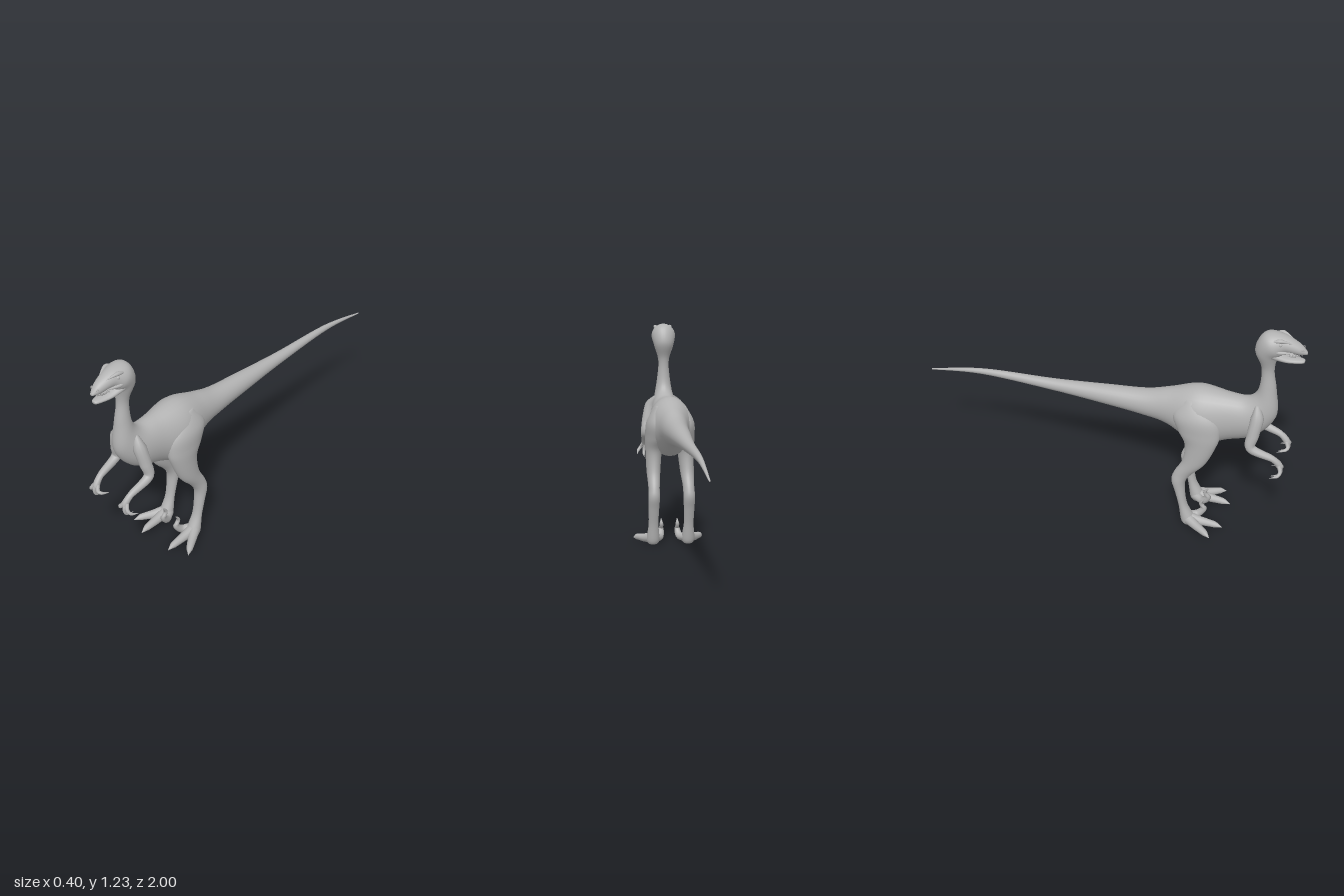
import * as THREE from 'three';

const skin = new THREE.MeshStandardMaterial({ color: 0xb2b2b2 });
skin.name = 'grey skin';
const { clamp, lerp } = THREE.MathUtils;

// Smooth loft through ribs [topZ, topY, bottomZ, bottomY, halfWidth], centred on x = cx(t)
function loft(ribs, steps, cx = () => 0) {
  const sides = 28, pos = [], idx = [], mids = [];
  const value = (k, t) => {
    const i = Math.min(Math.floor(t), ribs.length - 2), f = t - i;
    const [a, b, c, d] = [i - 1, i, i + 1, i + 2].map((n) => ribs[clamp(n, 0, ribs.length - 1)][k]);
    return b + 0.5 * f * (c - a + f * (2 * a - 5 * b + 4 * c - d + f * (3 * (b - c) + d - a)));
  };
  const rings = (ribs.length - 1) * steps;
  for (let i = 0; i <= rings; i++) {
    const [tz, ty, bz, by, w] = ribs[0].map((_, k) => value(k, i / steps));
    const x = cx(i / rings), y = (ty + by) / 2, z = (tz + bz) / 2;
    mids.push([x, y, z]);
    for (let j = 0; j < sides; j++) {
      const a = (j / sides) * Math.PI * 2, c = Math.cos(a);
      pos.push(x + w * Math.sin(a), y + (ty - y) * c, z + (tz - z) * c);
    }
  }
  const start = pos.length / 3;
  pos.push(...mids[0], ...mids[rings]);
  for (let j = 0; j < sides; j++) {
    const n = (j + 1) % sides;
    for (let i = 0; i < rings; i++) {
      const a = i * sides + j, b = i * sides + n;
      idx.push(a, a + sides, b, b, a + sides, b + sides);
    }
    idx.push(start, j, n, start + 1, rings * sides + n, rings * sides + j);
  }
  const geo = new THREE.BufferGeometry();
  geo.setAttribute('position', new THREE.Float32BufferAttribute(pos, 3));
  geo.setIndex(idx);
  geo.computeVertexNormals();
  return geo;
}

// Round limb through points [x, y, z, radius], mirrored by s
function limb(points, s = 1) {
  const sides = 12, segs = points.length * 6;
  const curve = new THREE.CatmullRomCurve3(points.map(([x, y, z]) => new THREE.Vector3(x * s, y, z)));
  const geo = new THREE.TubeGeometry(curve, segs, 1, sides);
  const P = geo.attributes.position, N = geo.attributes.normal;
  for (let i = 0; i <= segs; i++) {
    const c = curve.getPointAt(i / segs);
    const t = curve.getUtoTmapping(i / segs) * (points.length - 1);
    const k = Math.min(Math.floor(t), points.length - 2);
    const r = lerp(points[k][3], points[k + 1][3], t - k);
    for (let j = 0; j <= sides; j++) {
      const v = i * (sides + 1) + j;
      P.setXYZ(v, c.x + N.getX(v) * r, c.y + N.getY(v) * r, c.z + N.getZ(v) * r);
    }
  }
  return geo;
}

export function createModel() {
  const model = new THREE.Group();
  model.name = 'twoLeggedDinosaur';
  const add = (name, geo) => {
    const mesh = new THREE.Mesh(geo, skin);
    mesh.name = name;
    model.add(mesh);
    return mesh;
  };

  // Tail, trunk, neck and upper head in one skin
  add('body', loft([
    [-1, 0.623, -1, 0.617, 0.004],
    [-0.7, 0.685, -0.7, 0.653, 0.015],
    [-0.3, 0.705, -0.3, 0.641, 0.031],
    [0, 0.73, 0, 0.622, 0.052],
    [0.2, 0.75, 0.2, 0.603, 0.066],
    [0.33, 0.788, 0.33, 0.578, 0.082],
    [0.48, 0.835, 0.5, 0.5, 0.124],
    [0.64, 0.822, 0.65, 0.55, 0.092],
    [0.725, 0.822, 0.79, 0.607, 0.08],
    [0.773, 0.865, 0.882, 0.735, 0.056],
    [0.788, 0.94, 0.871, 0.89, 0.037],
    [0.783, 1.03, 0.851, 1.005, 0.031],
    [0.747, 1.125, 0.86, 1.088, 0.056],
    [0.785, 1.217, 0.88, 1.112, 0.068],
    [0.87, 1.225, 0.905, 1.134, 0.048],
    [0.96, 1.187, 0.965, 1.13, 0.028],
    [1, 1.148, 1, 1.136, 0.008],
  ], 7));

  // Open lower jaw and tongue
  add('lowerJaw', loft([
    [0.835, 1.15, 0.835, 1.09, 0.055],
    [0.91, 1.114, 0.91, 1.08, 0.039],
    [0.98, 1.104, 0.98, 1.083, 0.019],
    [0.992, 1.099, 0.992, 1.09, 0.006],
  ], 5));
  add('tongue', limb([[0, 1.12, 0.87, 0.012], [0, 1.113, 0.92, 0.012], [0, 1.12, 0.972, 0]]));

  // Leg levels: height, front z, back z, half width
  const legRibs = [
    [0.79, 0.5, 0.43, 0.02],
    [0.7, 0.605, 0.37, 0.057],
    [0.61, 0.622, 0.4, 0.054],
    [0.53, 0.603, 0.442, 0.046],
    [0.42, 0.557, 0.435, 0.039],
    [0.335, 0.487, 0.395, 0.032],
    [0.28, 0.458, 0.383, 0.033],
    [0.21, 0.458, 0.404, 0.03],
    [0.12, 0.475, 0.428, 0.028],
    [0.03, 0.522, 0.443, 0.037],
    [0.003, 0.51, 0.455, 0.026],
  ].map(([y, front, back, w]) => [front, y, back, y, w]);

  // Walking toe running out from the ankle to a pointed tip
  const walkingToe = (x, z) => [[0, 0.04, 0.032], [0.4, 0.027, 0.024], [0.8, 0.02, 0.017], [1, 0.009, 0]]
    .map(([t, y, r]) => [lerp(0.1, x, t), y, lerp(0.47, z, t), r]);

  for (const s of [1, -1]) {
    const side = s > 0 ? 'left' : 'right';

    // Face: eye, brow, cheek, nostril rim and teeth
    add(side + 'Eye', new THREE.SphereGeometry(0.011, 16, 12)).position.set(0.042 * s, 1.19, 0.872);
    add(side + 'Brow', limb([[0.045, 1.2, 0.83, 0.004], [0.042, 1.21, 0.87, 0.011], [0.024, 1.195, 0.925, 0.002]], s));
    add(side + 'Cheek', limb([[0.052, 1.165, 0.83, 0.006], [0.049, 1.15, 0.865, 0.012], [0.028, 1.147, 0.94, 0.001]], s));
    add(side + 'NostrilRim', new THREE.TorusGeometry(0.005, 0.002, 6, 12).rotateY(s * 1.2).translate(0.021 * s, 1.163, 0.978));
    for (let i = 0; i < 5; i++) {
      const tooth = new THREE.ConeGeometry(0.003, 0.012, 6).rotateX(Math.PI);
      add(side + 'Tooth', tooth).position.set((0.031 - i * 0.004) * s, 1.132, 0.92 + i * 0.014);
    }

    // Hind leg and toes, with a hooked claw on the raised inner toe
    add(side + 'HindLeg', loft(legRibs, 6, (t) => s * (0.1 - 0.038 * (1 - t) ** 4)));
    add(side + 'MiddleToe', limb(walkingToe(0.097, 0.67), s));
    add(side + 'OuterToe', limb(walkingToe(0.2, 0.625), s));
    add(side + 'InnerToe', limb([[0.085, 0.035, 0.475, 0.024], [0.055, 0.037, 0.525, 0.021], [0.046, 0.075, 0.556, 0.015], [0.046, 0.09, 0.55, 0.004]], s));
    add(side + 'SickleClaw', limb([[0.046, 0.07, 0.558, 0.012], [0.046, 0.105, 0.537, 0.011], [0.046, 0.136, 0.556, 0]], s));

    // Arm from shoulder to palm
    add(side + 'Arm', limb([
      [0.045, 0.81, 0.79, 0.012],
      [0.076, 0.76, 0.8, 0.034],
      [0.1, 0.67, 0.79, 0.031],
      [0.113, 0.598, 0.785, 0.025],
      [0.106, 0.545, 0.905, 0.016],
      [0.101, 0.508, 0.938, 0.018],
      [0.1, 0.488, 0.94, 0.003],
    ], s));

    // Three curled, clawed fingers
    [[0.056, 0.462], [0.108, 0.435], [0.15, 0.452]].forEach(([x, y], i) => {
      add(side + 'Finger' + (i + 1), limb([
        [lerp(0.102, x, 0.2), 0.515, 0.935, 0.01],
        [lerp(0.102, x, 0.5), 0.488, 0.947, 0.01],
        [lerp(0.102, x, 0.8), y + 0.018, 0.938, 0.008],
        [x, y, 0.893, 0],
      ], s));
    });
  }
  return model;
}
